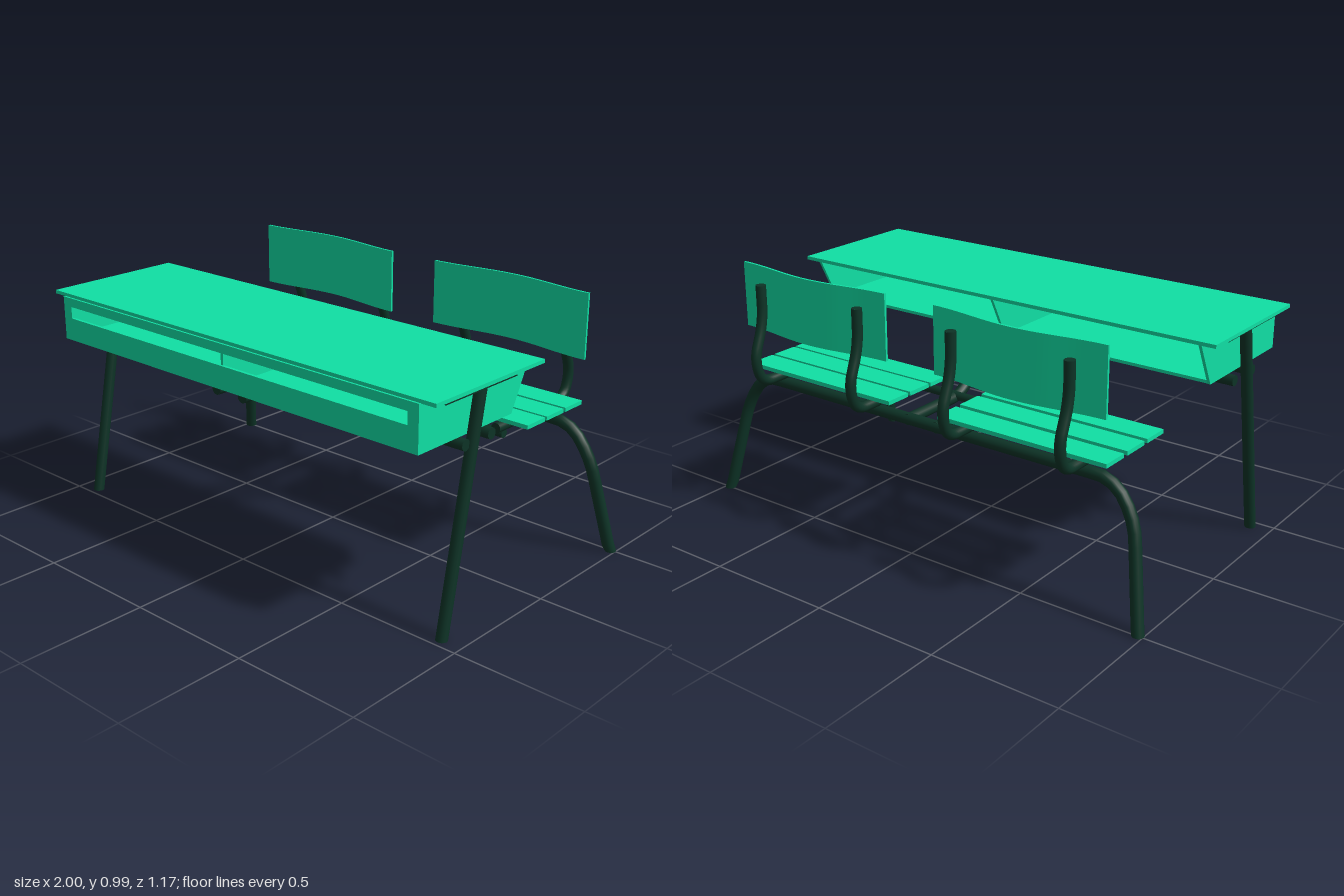
import * as THREE from 'three';
import { mergeGeometries } from 'three/addons/utils/BufferGeometryUtils.js';

const green = new THREE.MeshStandardMaterial({ color: 0x10dfa4, side: THREE.DoubleSide });
const dark = new THREE.MeshStandardMaterial({ color: 0x0d3326 });

export function createModel() {
  const model = new THREE.Group();

  const add = (name, geometry, material) => {
    const mesh = new THREE.Mesh(geometry, material);
    mesh.name = name;
    model.add(mesh);
    return mesh;
  };

  // Box given by its minimum and maximum corners
  const box = (name, a, b, material = green) => {
    const mesh = add(name, new THREE.BoxGeometry(b[0] - a[0], b[1] - a[1], b[2] - a[2]), material);
    mesh.position.set((a[0] + b[0]) / 2, (a[1] + b[1]) / 2, (a[2] + b[2]) / 2);
  };

  // Capped steel tube through points, with each corner rounded by `bend`
  const pipe = (name, points, radius, bend = 0.06) => {
    const p = points.map((v) => new THREE.Vector3(...v));
    const path = new THREE.CurvePath();
    let from = p[0];
    for (let i = 1; i < p.length - 1; i++) {
      const inDir = p[i - 1].clone().sub(p[i]), outDir = p[i + 1].clone().sub(p[i]);
      const d = Math.min(bend, inDir.length() * 0.48, outDir.length() * 0.48);
      const a = p[i].clone().addScaledVector(inDir.normalize(), d);
      const b = p[i].clone().addScaledVector(outDir.normalize(), d);
      path.add(new THREE.LineCurve3(from, a));
      path.add(new THREE.QuadraticBezierCurve3(a, p[i], b));
      from = b;
    }
    path.add(new THREE.LineCurve3(from, p[p.length - 1]));
    const parts = [new THREE.TubeGeometry(path, p.length > 2 ? 60 : 1, radius, 14, false)];
    for (const t of [0, 1]) {
      const normal = path.getTangentAt(t).multiplyScalar(t ? 1 : -1);
      const turn = new THREE.Quaternion().setFromUnitVectors(new THREE.Vector3(0, 0, 1), normal);
      const end = path.getPointAt(t);
      parts.push(new THREE.CircleGeometry(radius, 14).applyQuaternion(turn).translate(end.x, end.y, end.z));
    }
    const geometry = mergeGeometries(parts);
    // Feet are cut level with the floor
    const pos = geometry.attributes.position;
    for (let i = 0; i < pos.count; i++) pos.setY(i, Math.max(0, pos.getY(i)));
    return add(name, geometry, dark);
  };

  // Desk top and the shallow open-backed tray below it
  box('deskTop', [-0.955, 0.871, -0.007], [0.955, 0.885, 0.577]);
  box('trayFloor', [-0.895, 0.7, 0.09], [0.895, 0.712, 0.575]);

  const profile = new THREE.Shape([[0.577, 0.7], [0.577, 0.872], [0.0, 0.872], [0.087, 0.7]]
    .map(([z, y]) => new THREE.Vector2(z, y)));
  for (const [name, x] of [['traySideLeft', 0.895], ['trayDivider', 0.006], ['traySideRight', -0.883]]) {
    const wall = new THREE.ExtrudeGeometry(profile, { depth: 0.012, bevelEnabled: false });
    add(name, wall.rotateY(-Math.PI / 2).translate(x, 0, 0), green);
  }

  // Front panel with a long slot
  const panel = new THREE.Shape([[-0.895, 0.7], [0.895, 0.7], [0.895, 0.872], [-0.895, 0.872]]
    .map(([x, y]) => new THREE.Vector2(x, y)));
  panel.holes.push(new THREE.Path([[-0.85, 0.79], [-0.85, 0.837], [0.85, 0.837], [0.85, 0.79]]
    .map(([x, y]) => new THREE.Vector2(x, y))));
  add('trayFront', new THREE.ExtrudeGeometry(panel, { depth: 0.012, bevelEnabled: false })
    .translate(0, 0, 0.573), green);

  // Bars carrying the tray
  for (const z of [0.37, 0.23]) pipe('trayCrossbar', [[-0.92, 0.677, z], [0.92, 0.677, z]], 0.021);

  // Rear legs and seat beam bent from one tube
  pipe('rearLegFrame', [
    [-0.98, -0.015, -0.497], [-0.907, 0.38, -0.425], [-0.82, 0.502, -0.418],
    [0.82, 0.502, -0.418], [0.907, 0.38, -0.425], [0.98, -0.015, -0.497],
  ], 0.023, 0.09);
  pipe('seatCrossbar', [[-0.71, 0.51, -0.145], [0.71, 0.51, -0.145]], 0.017);

  // Parts mirrored left and right
  for (const s of [1, -1]) {
    pipe('frontLeg', [[s * 0.916, -0.015, 0.461], [s * 0.916, 0.868, 0.294]], 0.022);
    box('deskBracket', [s * 0.916 - 0.021, 0.855, 0.125], [s * 0.916 + 0.021, 0.871, 0.505], dark);
    pipe('spineTube', [
      [s * 0.066, 0.677, 0.547], [s * 0.066, 0.677, 0.085],
      [s * 0.066, 0.502, -0.115], [s * 0.066, 0.502, -0.43],
    ], 0.022, 0.05);

    // Seat tubes rising into backrest posts
    for (const x of [0.214, 0.7]) {
      pipe('seatPost', [
        [s * x, 0.54, -0.105], [s * x, 0.54, -0.545], [s * x, 0.64, -0.575],
        [s * x, 0.785, -0.52], [s * x, 0.926, -0.52],
      ], 0.02, 0.065);
    }

    // Seat slats
    const slats = s > 0 ? [-0.125, -0.245, -0.367] : [-0.105, -0.235, -0.367];
    for (const z of slats) {
      box('seatSlat', [s * 0.468 - 0.355, 0.561, z - 0.109], [s * 0.468 + 0.355, 0.577, z]);
    }

    // Backrest bowed backwards in the middle
    const back = new THREE.BoxGeometry(0.71, 0.255, 0.01, 24, 1, 1);
    const pos = back.attributes.position;
    for (let i = 0; i < pos.count; i++) {
      const bow = 0.5 + 0.5 * Math.cos((pos.getX(i) / 0.355) * Math.PI);
      pos.setZ(i, pos.getZ(i) - 0.481 - 0.037 * bow);
    }
    back.computeVertexNormals();
    add('backrest', back.translate(s * 0.466, 0.8625, 0), green);
  }

  return model;
}
